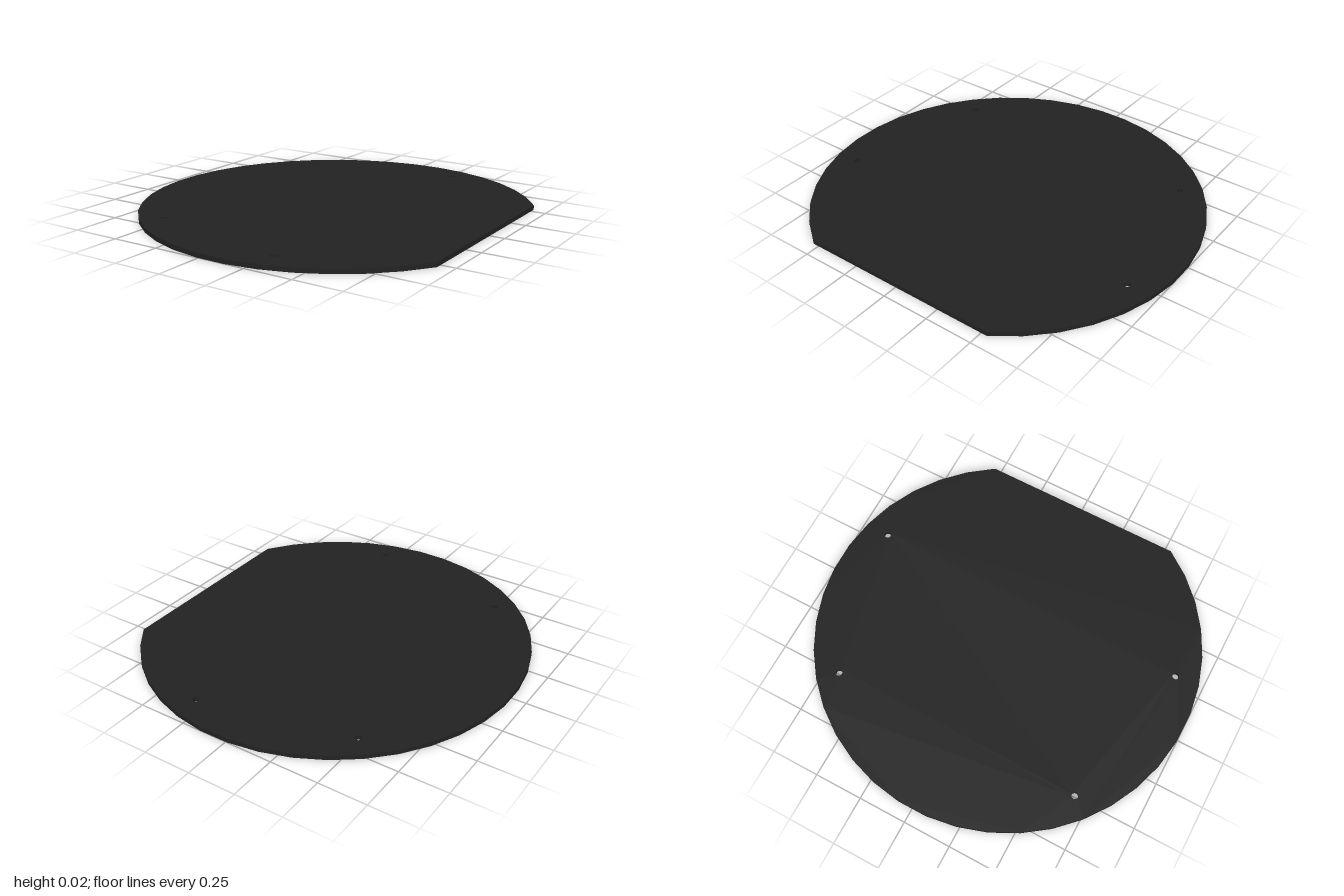
import * as THREE from 'three';

const RADIUS = 1.003, CENTRE_X = 0.075, FLAT_X = 0.925, THICKNESS = 0.023;
const ARC_SEGMENTS = 33, HOLE_RADIUS = 0.017;

export function createModel() {
  const group = new THREE.Group();
  group.name = 'mountingPlate';

  // Round outline cut off straight on the +x side
  const start = Math.acos((FLAT_X - CENTRE_X) / RADIUS);
  const sweep = 2 * (Math.PI - start);
  const outline = [];
  for (let i = 0; i <= ARC_SEGMENTS; i++) {
    const a = start + (sweep * i) / ARC_SEGMENTS;
    outline.push(new THREE.Vector2(CENTRE_X + RADIUS * Math.cos(a), RADIUS * Math.sin(a)));
  }
  const shape = new THREE.Shape(outline);

  // Two mirrored pairs of screw holes
  for (const [x, z] of [[0.297, 0.85], [-0.496, 0.674]]) {
    for (const side of [1, -1]) {
      shape.holes.push(new THREE.Path().absarc(x, side * z, HOLE_RADIUS, 0, Math.PI * 2, true));
    }
  }

  // Thin plate laid flat on the ground
  const geometry = new THREE.ExtrudeGeometry(shape, {
    depth: THICKNESS, bevelEnabled: false, curveSegments: 10,
  });
  geometry.rotateX(-Math.PI / 2);
  const plate = new THREE.Mesh(geometry, new THREE.MeshStandardMaterial({ color: 0x222222 }));
  plate.name = 'plate';
  group.add(plate);
  return group;
}
